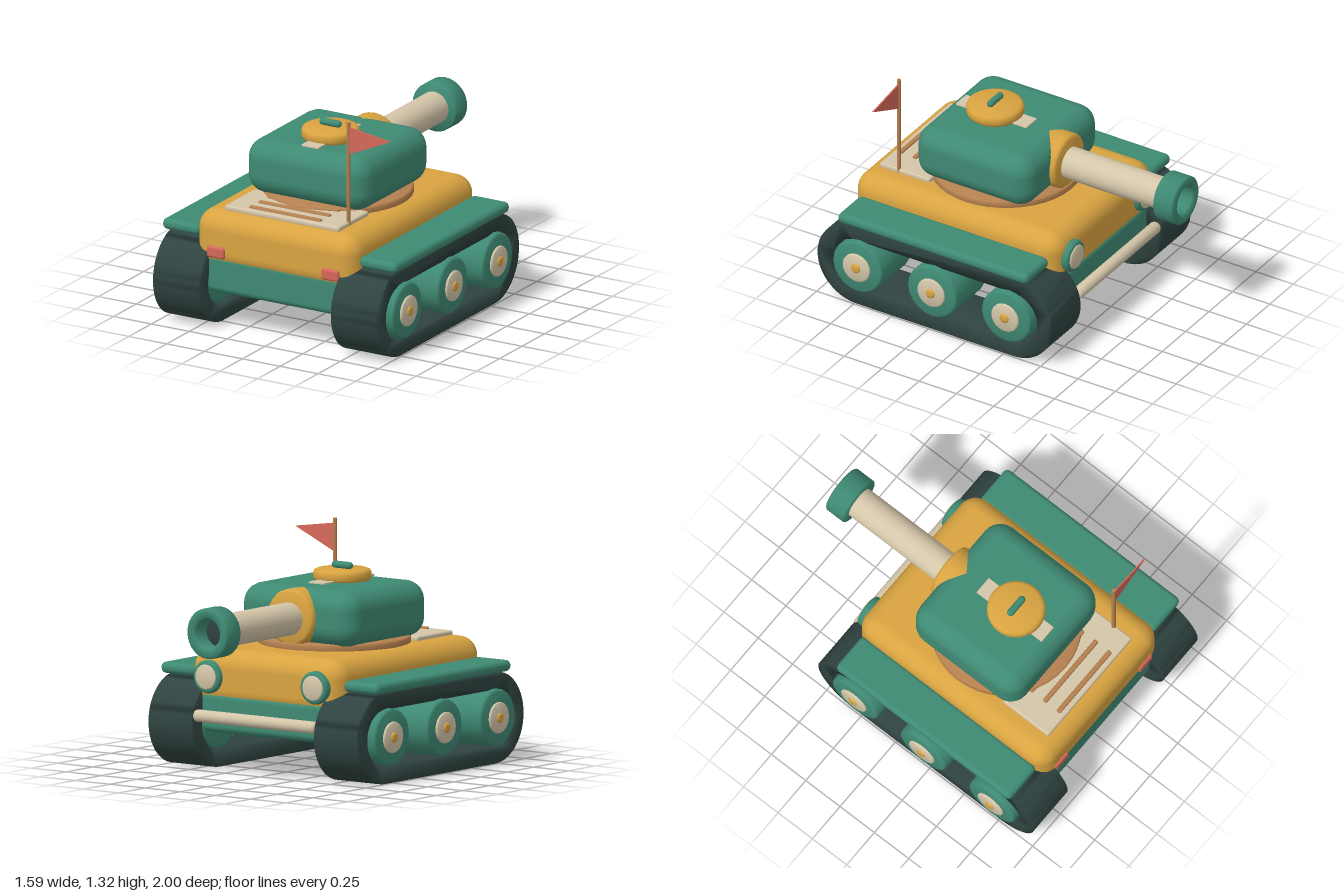
import * as THREE from 'three';
import { toCreasedNormals, mergeVertices } from 'three/addons/utils/BufferGeometryUtils.js';
import { RoundedBoxGeometry } from 'three/addons/geometries/RoundedBoxGeometry.js';

const paint = (name, color) => {
  const m = new THREE.MeshStandardMaterial({ color });
  m.name = name;
  return m;
};

export function createModel() {
  const green = paint('green', 0x3f8a74);
  const gold = paint('gold', 0xd9a441);
  const cream = paint('cream', 0xd4c6a9);
  const brown = paint('brown', 0xb5804f);
  const red = paint('red', 0xd6695a);
  const dark = paint('dark rubber', 0x2f4340);

  const model = new THREE.Group();
  model.name = 'toyTank';

  const add = (name, geo, mat, x = 0, y = 0, z = 0) => {
    const mesh = new THREE.Mesh(geo, mat);
    mesh.name = name;
    mesh.position.set(x, y, z);
    model.add(mesh);
    return mesh;
  };
  // Rounded box given by its min and max on each axis
  const box = (name, mat, [x0, x1], [y0, y1], [z0, z1], r, seg = 3) =>
    add(name, new RoundedBoxGeometry(x1 - x0, y1 - y0, z1 - z0, seg, r), mat,
      (x0 + x1) / 2, (y0 + y1) / 2, (z0 + z1) / 2);
  const lathe = (points, sides) => toCreasedNormals(
    new THREE.LatheGeometry(points.map(([r, y]) => new THREE.Vector2(r, y)), sides), 0.9);
  // Disc with softened rims, standing on y = 0
  const disc = (r, h, b = 0.01, sides = 24) => lathe(
    [[0, 0], [r - b, 0], [r - b * 0.3, b * 0.3], [r, b], [r, h - b], [r - b * 0.3, h - b * 0.3], [r - b, h], [0, h]], sides);
  const alongX = (geo, s = 1) => geo.rotateZ(-s * Math.PI / 2);
  const backward = (geo) => geo.rotateX(-Math.PI / 2);

  // Hull
  box('lowerHull', green, [-0.45, 0.45], [0.22, 0.45], [-0.475, 0.9], 0.04);
  box('upperHull', gold, [-0.535, 0.535], [0.36, 0.7], [-0.475, 0.908], 0.11, 4);
  add('rearBumper', alongX(disc(0.036, 0.86, 0.015, 16)), cream, -0.43, 0.32, -0.535);

  // Track loop outline: a stadium with a stadium hole
  const stadium = (path, r, half) => {
    path.absarc(half, 0, r, -Math.PI / 2, Math.PI / 2, false);
    path.absarc(-half, 0, r, Math.PI / 2, Math.PI * 1.5, false);
    path.closePath();
    return path;
  };
  const loop = stadium(new THREE.Shape(), 0.262, 0.523);
  loop.holes.push(stadium(new THREE.Path(), 0.163, 0.523));
  let trackGeo = new THREE.ExtrudeGeometry(loop, { depth: 0.305, bevelEnabled: false, curveSegments: 14 });
  trackGeo.deleteAttribute('normal');
  trackGeo.deleteAttribute('uv');
  trackGeo = mergeVertices(trackGeo, 1e-4);
  trackGeo.computeVertexNormals();
  trackGeo.translate(0, 0, -0.1525).rotateY(Math.PI / 2);

  for (const s of [1, -1]) {
    const side = s > 0 ? 'left' : 'right';
    const span = (a, b) => (s > 0 ? [a, b] : [-b, -a]);

    // Running gear
    add(side + 'Track', trackGeo, dark, s * 0.5875, 0.262, 0.215);
    for (const z of [0.715, 0.215, -0.28]) {
      add(side + 'Wheel', alongX(disc(0.165, 0.325, 0.015, 20), s), green, s * 0.45, 0.268, z);
      add(side + 'WheelHub', alongX(disc(0.09, 0.03, 0.006), s), cream, s * 0.757, 0.268, z);
      add(side + 'WheelCap', alongX(disc(0.03, 0.03, 0.008, 14), s), gold, s * 0.766, 0.268, z);
    }
    box(side + 'Fender', green, span(0.525, 0.775), [0.52, 0.585], [-0.42, 0.85], 0.03);

    // Lamps
    box(side + 'RedLamp', red, span(0.32, 0.437), [0.435, 0.505], [0.87, 0.921], 0.015, 2);
    add(side + 'LampHousing', backward(disc(0.095, 0.07, 0.015)), green, s * 0.38, 0.54, -0.437);
    add(side + 'LampLens', backward(disc(0.072, 0.02, 0.005)), cream, s * 0.38, 0.54, -0.494);
  }

  // Deck plate with slots
  box('deckPlate', cream, [-0.38, 0.377], [0.692, 0.725], [0.48, 0.815], 0.012, 2);
  for (const z of [0.57, 0.67, 0.77])
    box('deckSlot', brown, [-0.237, 0.237], [0.705, 0.737], [z - 0.015, z + 0.015], 0.01, 2);

  // Turret
  add('turretRing', disc(0.435, 0.05, 0.008, 40), brown, 0, 0.687, 0.2);
  box('turret', green, [-0.405, 0.405], [0.72, 1.045], [-0.19, 0.585], 0.115, 3);
  box('turretStripe', cream, [-0.056, 0.056], [1.043, 1.055], [0.03, 0.505], 0.003, 1);
  add('hatch', disc(0.166, 0.07, 0.022, 32), gold, 0, 1.038, 0.275);
  add('hatchHandle', alongX(new THREE.CapsuleGeometry(0.021, 0.1, 4, 10)), green, 0, 1.127, 0.275);

  // Gun
  add('mantlet', backward(disc(0.163, 0.18, 0.02, 28)), gold, 0, 0.88, -0.045);
  add('barrel', backward(new THREE.CylinderGeometry(0.094, 0.094, 0.72, 28)), cream, 0, 0.875, -0.52);
  add('muzzle', backward(lathe([[0, 0], [0.14, 0], [0.145, 0.005], [0.145, 0.122], [0.137, 0.13],
    [0.095, 0.13], [0.084, 0.118], [0.084, 0.02], [0, 0.02]], 28)), green, 0, 0.875, -0.87);
  add('bore', backward(disc(0.083, 0.006, 0.001)), dark, 0, 0.875, -0.889);

  // Flag
  add('flagPole', new THREE.CylinderGeometry(0.012, 0.012, 0.62, 12), brown, 0.366, 1.008, 0.69);
  const pennant = new THREE.Shape([[0, 1.128], [0.272, 1.25], [0, 1.29]].map(([x, y]) => new THREE.Vector2(x, y)));
  add('flag', new THREE.ExtrudeGeometry(pennant, { depth: 0.008, bevelEnabled: false }), red, 0.373, 0, 0.686);

  return model;
}
